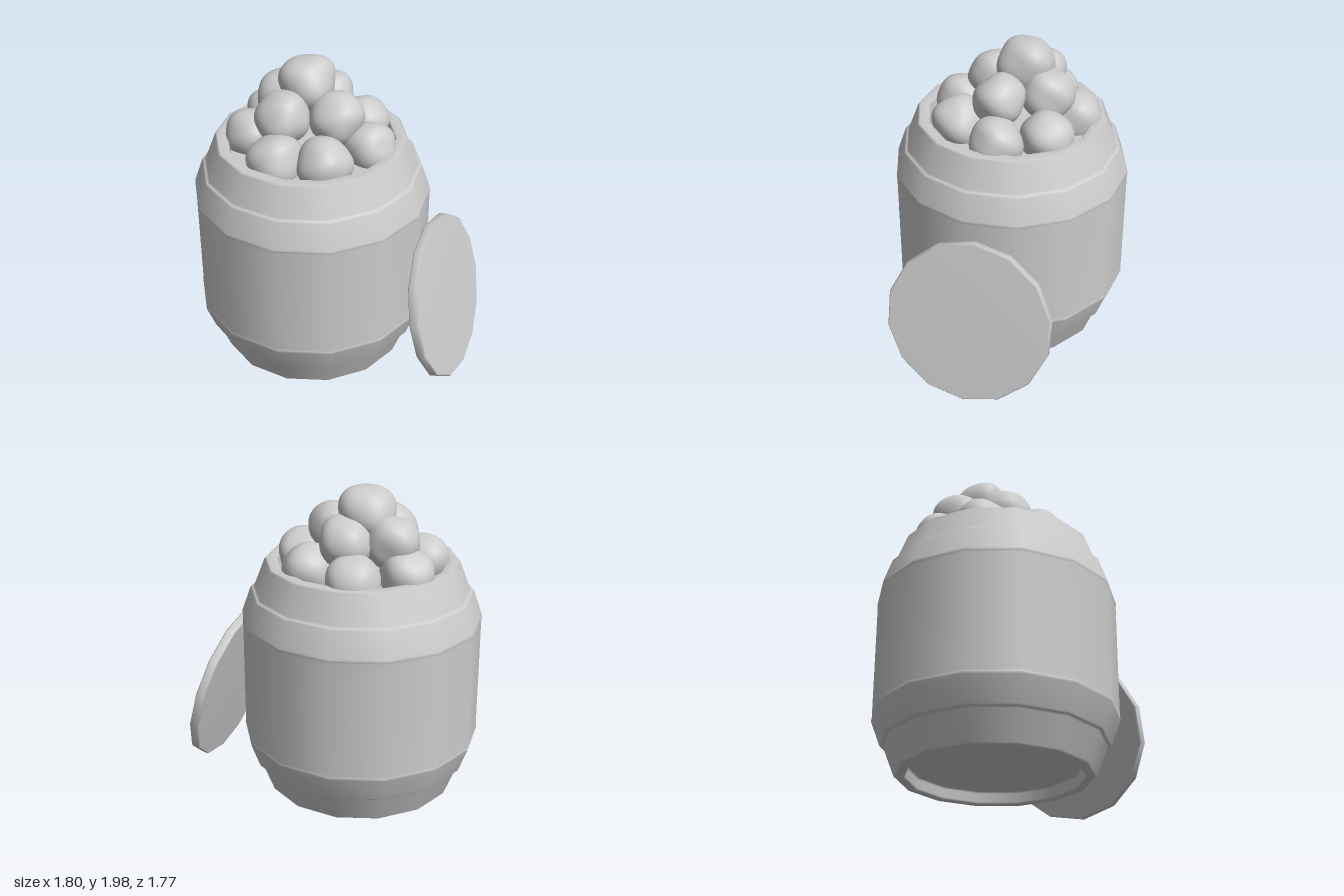
import * as THREE from 'three';
import { mergeVertices } from 'three/addons/utils/BufferGeometryUtils.js';

const SIDES = 14;
const material = new THREE.MeshStandardMaterial({ color: 0xcccccc });

// Turned solid from [radius, height] corners, each corner cut by a small bevel
function turned(name, corners, bevel, phiStart) {
  const p = corners.map(([r, y]) => new THREE.Vector2(r, y));
  const points = [p[0]];
  for (let i = 1; i < p.length - 1; i++) {
    for (const other of [p[i - 1], p[i + 1]]) {
      const d = other.clone().sub(p[i]);
      const len = d.length();
      points.push(p[i].clone().addScaledVector(d, Math.min(bevel, len * 0.4) / len));
    }
  }
  points.push(p[p.length - 1]);
  const mesh = new THREE.Mesh(new THREE.LatheGeometry(points, SIDES, phiStart, Math.PI * 2), material);
  mesh.name = name;
  return mesh;
}

// Smooth lumpy ball; the seed varies the bumps
function lumpyBall(radius, seed) {
  let geo = new THREE.IcosahedronGeometry(1, 7);
  geo.deleteAttribute('normal');
  geo.deleteAttribute('uv');
  geo = mergeVertices(geo, 1e-4);
  const pos = geo.attributes.position;
  const v = new THREE.Vector3();
  for (let i = 0; i < pos.count; i++) {
    v.fromBufferAttribute(pos, i).normalize();
    const bump = Math.sin(3.1 * v.x + seed * 1.7) * Math.sin(2.7 * v.y + seed * 2.3)
      + Math.sin(3.3 * v.z + seed * 0.9) * Math.cos(2.9 * v.x - seed)
      + 0.6 * Math.sin(4.2 * v.y - 3.6 * v.z + seed * 3.1);
    v.multiplyScalar(radius * (1 + 0.045 * bump));
    pos.setXYZ(i, v.x, v.y, v.z);
  }
  geo.computeVertexNormals();
  return new THREE.Mesh(geo, material);
}

export function createModel() {
  const model = new THREE.Group();
  model.name = 'openBarrel';

  // Barrel: recessed base, hoop bands, straight middle, rim and recessed top
  const barrel = turned('barrel', [
    [0, 0.08], [0.53, 0.08], [0.53, 0.005], [0.595, 0.005],
    [0.668, 0.195], [0.688, 0.195], [0.75, 0.365], [0.745, 0.375],
    [0.745, 1.125], [0.75, 1.135], [0.69, 1.308], [0.67, 1.308],
    [0.597, 1.5], [0.52, 1.5], [0.52, 1.43], [0, 1.43],
  ], 0.01, Math.PI / 2);
  barrel.position.set(-0.15, 0, -0.155);
  model.add(barrel);

  // Lid leaning against the barrel
  const lid = turned('lid', [[0, -0.032], [0.527, -0.032], [0.527, 0.032], [0, 0.032]], 0.01, 0);
  lid.rotation.set(THREE.MathUtils.degToRad(76), Math.PI / 4, 0, 'YXZ');
  lid.position.set(0.5, 0.52, 0.485);
  model.add(lid);

  // Heap of produce in three layers: [x, z] per layer
  const heap = new THREE.Group();
  heap.name = 'produceHeap';
  const layers = [
    { y: 1.495, r: 0.165, spots: [[-0.27, -0.53], [0.06, -0.49], [0.215, -0.2], [0.13, 0.1], [-0.2, 0.19], [-0.45, 0.03], [-0.48, -0.31]] },
    { y: 1.675, r: 0.165, spots: [[-0.34, -0.14], [-0.23, -0.41], [0.03, -0.31], [-0.04, -0.01]] },
    { y: 1.825, r: 0.175, spots: [[-0.135, -0.25]] },
  ];
  let seed = 1;
  for (const { y, r, spots } of layers) {
    for (const [x, z] of spots) {
      const ball = lumpyBall(r, seed++);
      ball.name = 'produce';
      ball.position.set(x, y, z);
      heap.add(ball);
    }
  }
  model.add(heap);

  return model;
}
